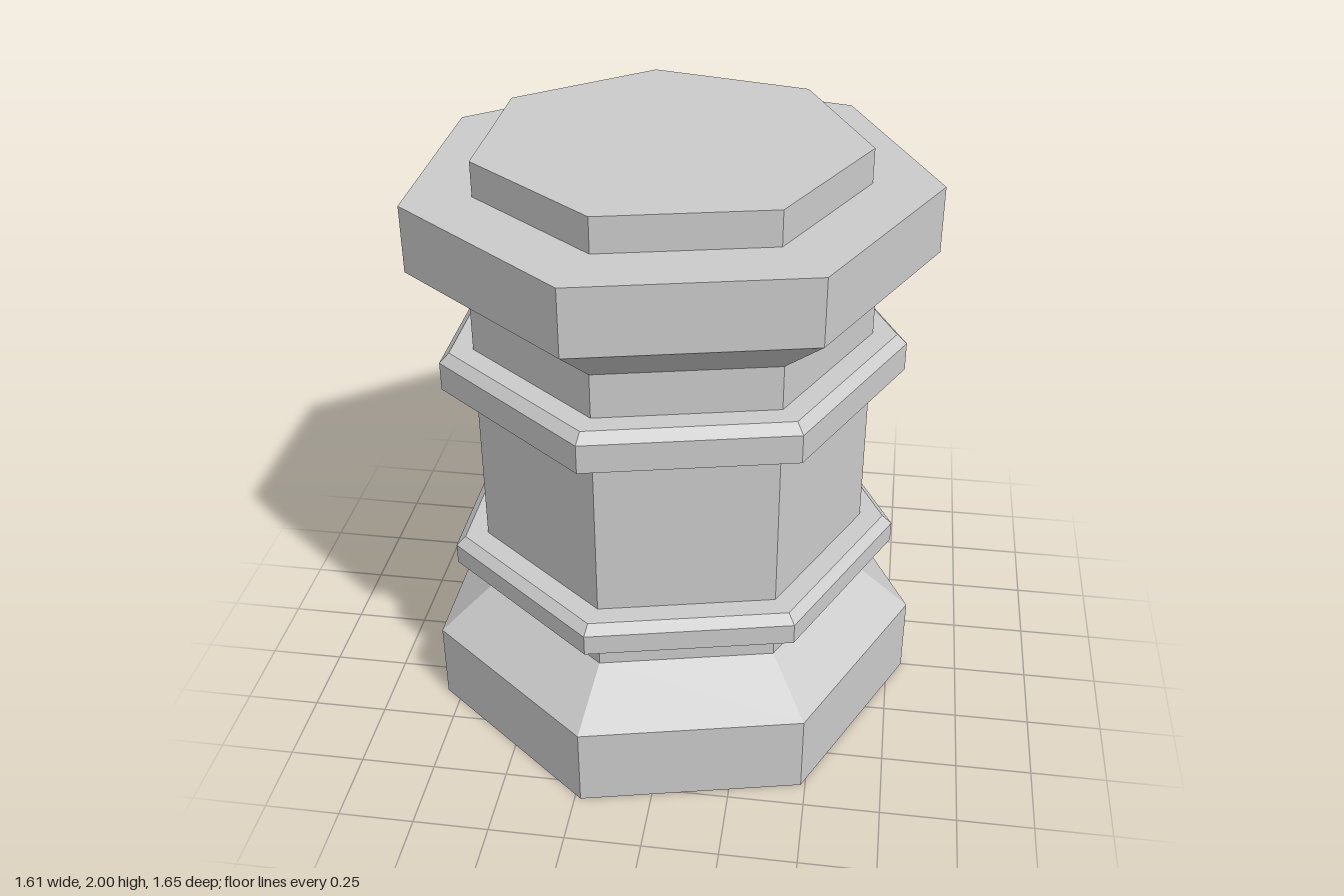
import * as THREE from 'three';

const SIDES = 7;
const SHAFT = 0.657; // corner radius of the shaft

export function createModel() {
  const group = new THREE.Group();
  const material = new THREE.MeshStandardMaterial({ color: 0xcccccc, flatShading: true });

  // Seven-sided turned part from [radius, height] pairs, listed bottom to top
  function addPart(name, profile) {
    const points = profile.map(([r, y]) => new THREE.Vector2(r, y));
    // one corner of the heptagon points to +x
    const geometry = new THREE.LatheGeometry(points, SIDES, Math.PI / 2).toNonIndexed();
    geometry.computeVertexNormals();
    const mesh = new THREE.Mesh(geometry, material);
    mesh.name = name;
    mesh.position.x = -0.042; // centres the heptagon's bounds
    group.add(mesh);
  }

  // Moulded band around the shaft with a chamfered top edge
  function addBand(name, bottom, edge, top) {
    addPart(name, [[SHAFT, bottom], [0.768, bottom], [0.768, edge], [0.735, top], [SHAFT, top]]);
  }

  // Plinth with sloped shoulder
  addPart('base', [[0, 0], [0.846, 0], [0.846, 0.275], [SHAFT, 0.432]]);

  addPart('shaft', [[SHAFT, 0.432], [SHAFT, 1.517]]);
  addBand('lowerBand', 0.557, 0.627, 0.656);
  addBand('upperBand', 1.243, 1.339, 1.37);

  // Flared head and the smaller slab on top
  addPart('capital', [[SHAFT, 1.517], [0.846, 1.67], [0.846, 1.887], [0.624, 1.887]]);
  addPart('topSlab', [[0.624, 1.887], [0.624, 2], [0, 2]]);

  return group;
}
